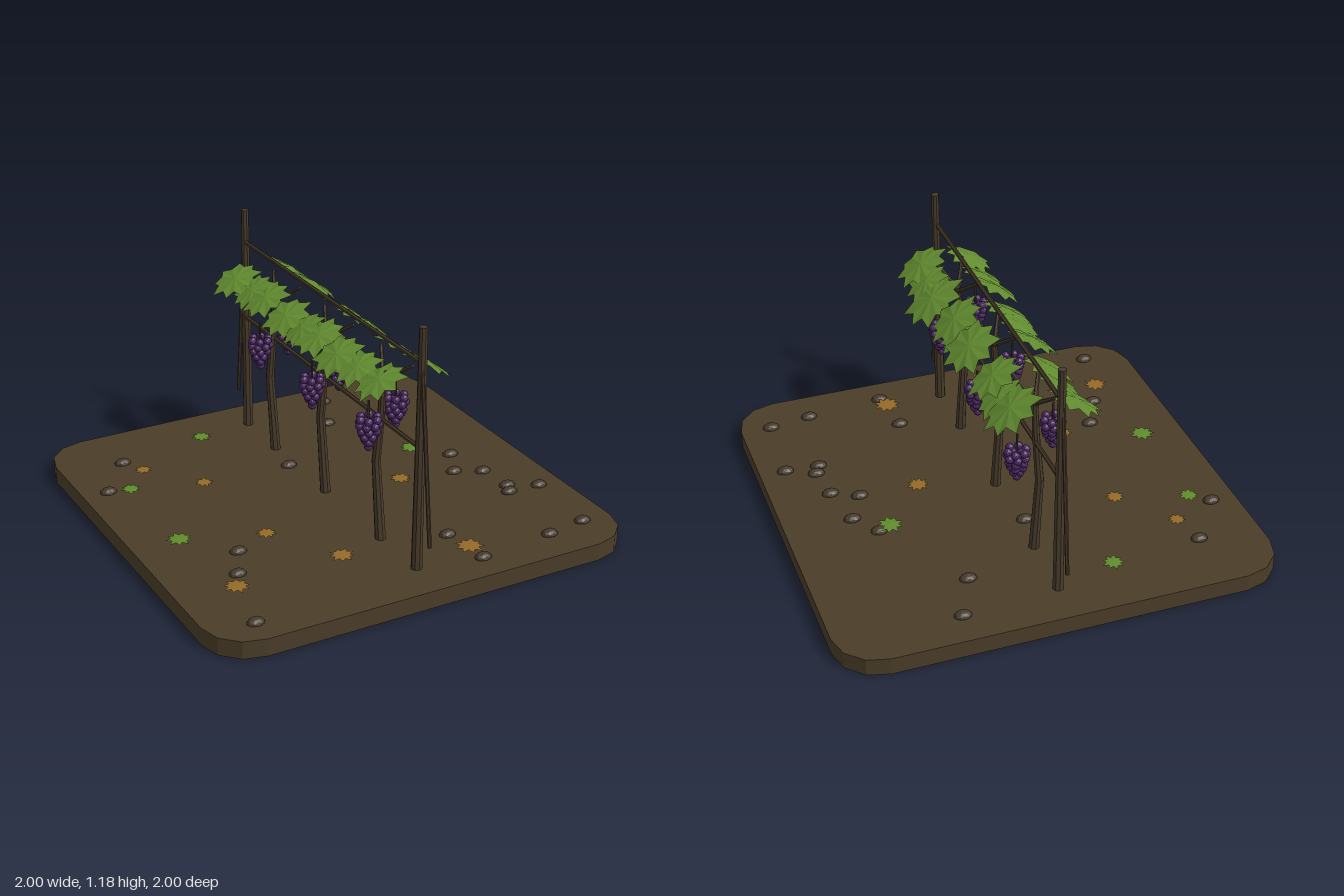
import * as THREE from 'three';

const mat = (name, color, extra = {}) => {
  const m = new THREE.MeshStandardMaterial({ color, flatShading: true, ...extra });
  m.name = name;
  return m;
};

export function createModel() {
  const root = new THREE.Group();
  root.name = 'grapeTrellis';
  const soil = mat('soil', 0x4a3d28);
  const clod = mat('clod', 0x44382a);
  const wood = mat('wood', 0x483a2a);
  const wire = mat('wire', 0x433727);
  const leafGreen = mat('leafGreen', 0x628c30, { side: THREE.DoubleSide });
  const fallenGreen = mat('fallenGreen', 0x5f8c2c, { side: THREE.DoubleSide });
  const fallenOchre = mat('fallenOchre', 0x946a28, { side: THREE.DoubleSide });
  const grape = mat('grape', 0x4a2660);

  let seed = 11;
  const rnd = () => (seed = (seed * 16807) % 2147483647) / 2147483647;
  const jit = (a) => (rnd() - 0.5) * 2 * a;
  const V = (x, y, z) => new THREE.Vector3(x, y, z);

  const add = (name, geo, material, parent = root) => {
    const m = new THREE.Mesh(geo, material);
    m.name = name;
    parent.add(m);
    return m;
  };
  // Tapered round bar between two points
  const bar = (name, a, b, r0, r1, material, parent = root, sides = 8) => {
    const m = add(name, new THREE.CylinderGeometry(r1, r0, a.distanceTo(b), sides), material, parent);
    m.position.copy(a).add(b).multiplyScalar(0.5);
    m.quaternion.setFromUnitVectors(V(0, 1, 0), b.clone().sub(a).normalize());
    return m;
  };
  // Jagged star leaf of unit radius, raised in the middle
  const leafGeo = (points, inner, dome) => {
    const pos = [0, dome, 0];
    const index = [];
    const n = points * 2;
    for (let i = 0; i < n; i++) {
      const a = (i / n) * Math.PI * 2;
      const r = i % 2 ? inner : (i % 4 ? 0.9 : 1);
      pos.push(Math.sin(a) * r, i % 2 ? dome * 0.5 : 0, Math.cos(a) * r);
      index.push(0, i + 1, ((i + 1) % n) + 1);
    }
    const g = new THREE.BufferGeometry();
    g.setAttribute('position', new THREE.Float32BufferAttribute(pos, 3));
    g.setIndex(index);
    g.computeVertexNormals();
    return g;
  };

  // Ground slab with rounded corners
  const s = new THREE.Shape();
  [[1, 1], [-1, 1], [-1, -1], [1, -1]].forEach(([cx, cy], k) => {
    for (let i = 0; i <= 3; i++) {
      const a = (k + i / 3) * Math.PI / 2;
      const x = cx * 0.8 + 0.2 * Math.cos(a), y = cy * 0.8 + 0.2 * Math.sin(a);
      if (k + i === 0) s.moveTo(x, y); else s.lineTo(x, y);
    }
  });
  const slab = new THREE.ExtrudeGeometry(s, { depth: 0.08, bevelEnabled: false });
  add('groundSlab', slab.rotateX(-Math.PI / 2), soil);

  // End posts with slanted guy lines, and the two wires
  for (const side of [1, -1]) {
    bar('post', V(0, 0.07, 0.8 * side), V(0.005, 1.18, 0.805 * side), 0.025, 0.018, wood);
    bar('guyLine', V(0, 0.225, 0.9 * side), V(0, 1.03, 0.81 * side), 0.009, 0.009, wire, root, 6);
  }
  for (const y of [0.645, 1.025]) bar('trellisWire', V(0, y, -0.8), V(0, y, 0.8), 0.01, 0.01, wire, root, 6);

  // Vines: bent trunk and short arms reaching up to the leaves
  for (const z of [-0.5, 0, 0.5]) {
    const vine = new THREE.Group();
    vine.name = 'vine';
    vine.position.z = z;
    root.add(vine);
    const path = [V(-0.005, 0.07, 0.005), V(-0.018, 0.45, -0.018), V(-0.004, 0.68, -0.004), V(0, 0.85, 0.005)];
    const radii = [0.025, 0.02, 0.017, 0.014];
    for (let i = 0; i < 3; i++) bar('trunk', path[i], path[i + 1], radii[i], radii[i + 1], wood, vine);
    for (const sx of [1, -1]) for (const sz of [1, -1])
      bar('arm', V(0, 0.83, 0), V(0.065 * sx, 0.93, 0.13 * sz), 0.011, 0.007, wood, vine, 6);
  }

  // Sloping canopy: z, height, radius for each leaf
  const canopyLeaf = leafGeo(9, 0.68, 0.16);
  const canopy = (sx, x, slope, rows) => rows.forEach(([z, y, r]) => {
    const m = add('canopyLeaf', canopyLeaf, leafGreen);
    m.scale.setScalar(r);
    m.position.set(x * sx + jit(0.015), y, z);
    m.rotation.order = 'ZXY';
    m.rotation.set(jit(0.12), rnd() * 6.28, -sx * (slope + jit(0.07)));
  });
  canopy(1, 0.145, 0.6, [[0.62, 0.92, 0.14], [0.37, 0.88, 0.165], [0.5, 0.9, 0.12], [0.12, 0.91, 0.145],
    [-0.1, 0.9, 0.15], [0, 0.89, 0.12], [-0.39, 0.92, 0.14], [-0.63, 0.91, 0.15], [-0.5, 0.89, 0.12]]);
  canopy(-1, 0.115, 0.5, [[0.65, 0.9, 0.13], [0.48, 0.895, 0.12], [0.34, 0.9, 0.13], [0.13, 0.9, 0.13],
    [0, 0.895, 0.12], [-0.14, 0.9, 0.13], [-0.37, 0.9, 0.13], [-0.5, 0.895, 0.12], [-0.65, 0.9, 0.13]]);

  // Grape bunches: tapering rings of berries under a stem
  const berry = new THREE.IcosahedronGeometry(0.019, 1);
  const rings = [[6, 0.04], [7, 0.042], [6, 0.036], [5, 0.028], [3, 0.016], [1, 0]];
  for (const [x, top, z] of [[-0.11, 0.725, 0.575], [0.105, 0.72, 0.43], [-0.11, 0.71, 0.075],
    [0.105, 0.695, -0.07], [-0.11, 0.705, -0.43], [0.105, 0.68, -0.57]]) {
    const bunch = new THREE.Group();
    bunch.name = 'grapeBunch';
    bunch.position.set(x, top, z);
    root.add(bunch);
    bar('bunchStem', V(0, -0.1, 0), V(0, 0.065, 0), 0.005, 0.005, wood, bunch, 6);
    rings.forEach(([n, r], k) => {
      for (let i = 0; i < n; i++) {
        const a = (i / n) * Math.PI * 2 + k * 0.5;
        add('berry', berry, grape, bunch).position.set(Math.cos(a) * r, -0.018 - k * 0.026, Math.sin(a) * r);
      }
    });
  }

  // Fallen leaves: x, z, radius
  const fallenLeaf = leafGeo(9, 0.6, 0.06);
  const scatter = (material, list) => list.forEach(([x, z, r]) => {
    const m = add('fallenLeaf', fallenLeaf, material);
    m.scale.setScalar(r);
    m.position.set(x, 0.099, z);
    m.rotation.y = rnd() * 6.28;
  });
  scatter(fallenGreen, [[-0.28, -0.74, 0.053], [-0.79, -0.4, 0.05], [-0.79, 0.13, 0.062], [0.55, -0.16, 0.064]]);
  scatter(fallenOchre, [[-0.665, -0.55, 0.045], [-0.47, -0.3, 0.048], [0.34, 0.09, 0.055], [-0.435, 0.26, 0.05],
    [-0.745, 0.605, 0.062], [-0.24, 0.585, 0.06], [0.28, 0.775, 0.068]]);

  // Clods of earth: x, z
  const lump = new THREE.IcosahedronGeometry(0.04, 1).scale(1, 0.6, 0.75);
  for (const [x, z] of [[0.44, -0.84], [-0.71, -0.69], [0.34, -0.615], [-0.88, -0.45], [0.6, -0.165], [0.69, -0.04],
    [0.61, 0.12], [0.73, 0.18], [-0.6, 0.32], [0.75, 0.355], [0.725, 0.41], [0.88, 0.42], [-0.685, 0.49],
    [0.265, 0.62], [-0.79, 0.87], [0.295, 0.86], [0.66, 0.825], [0.855, 0.795], [-0.035, -0.3]])
    add('clod', lump, clod).position.set(x, 0.082, z);

  return root;
}
